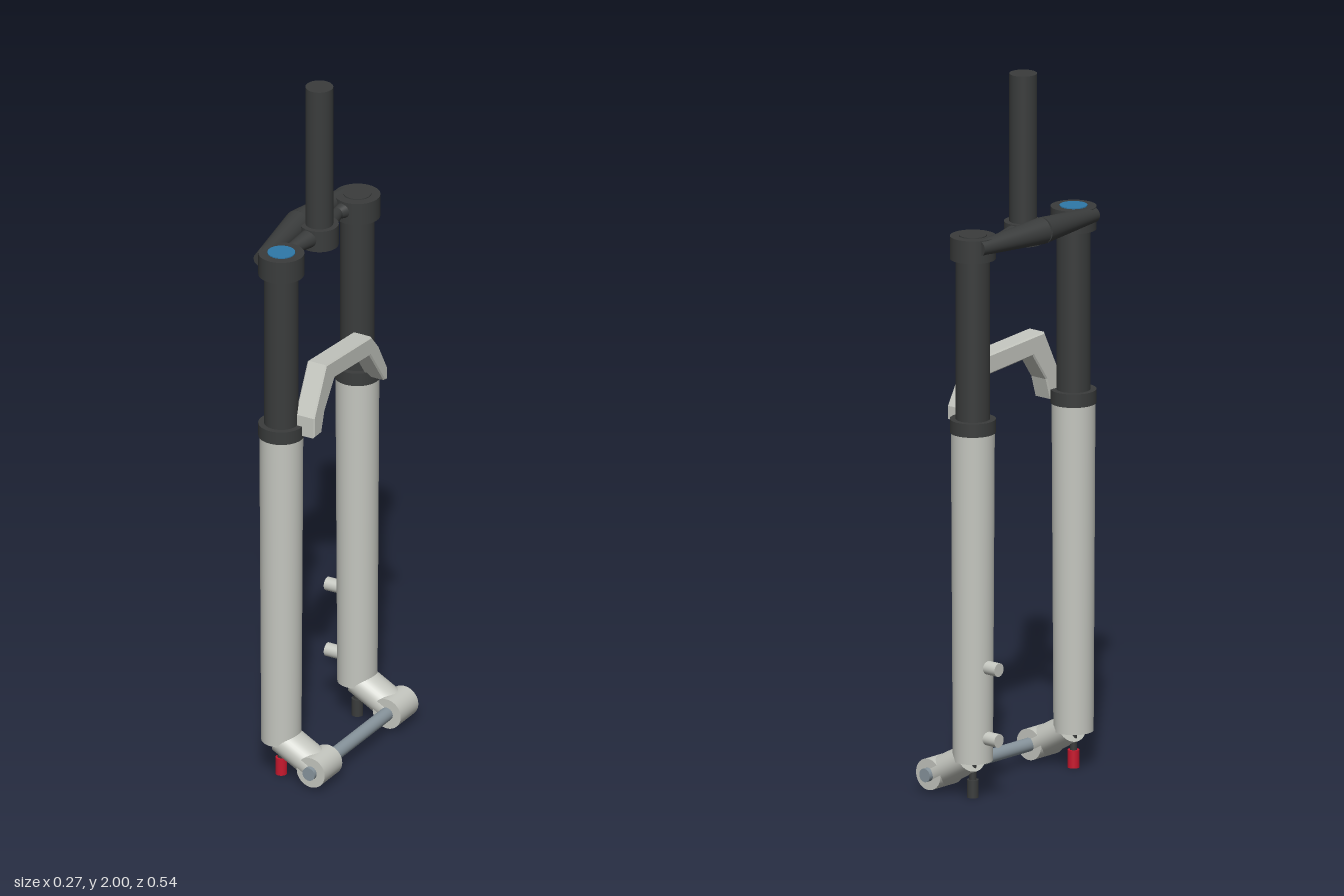
import * as THREE from 'three';

const mat = (color, side = THREE.FrontSide) => new THREE.MeshStandardMaterial({ color, side });
const V = (x, y, z) => new THREE.Vector3(x, y, z);
const UP = V(0, 1, 0);

export function createModel() {
  const model = new THREE.Group();
  const dark = mat(0x3a3c3c), alloy = mat(0xc4c6bf), steel = mat(0x87949c);
  const blue = mat(0x2f78a8), red = mat(0xc8182e);
  const legX = -0.03, legZ = 0.207, axleX = 0.09, axleY = 0.052;

  const add = (name, geometry, material, parent = model) => {
    const mesh = new THREE.Mesh(geometry, material);
    mesh.name = name;
    parent.add(mesh);
    return mesh;
  };
  // Round bar from a (radius ra) to b (radius rb)
  const bar = (name, a, b, ra, rb, material, parent) => {
    const mesh = add(name, new THREE.CylinderGeometry(rb, ra, a.distanceTo(b), 40), material, parent);
    mesh.position.copy(a).add(b).multiplyScalar(0.5);
    mesh.quaternion.setFromUnitVectors(UP, b.clone().sub(a).normalize());
    return mesh;
  };

  // The two legs; the left one carries the coloured adjusters
  for (const s of [1, -1]) {
    const leg = new THREE.Group();
    leg.name = s > 0 ? 'leftLeg' : 'rightLeg';
    model.add(leg);
    const z = s * legZ;
    const upright = (name, y0, y1, r0, r1, m) =>
      bar(name, V(legX, y0, z), V(legX, y1, z), r0, r1, m, leg);

    upright('lowerTube', 0.105, 1.035, 0.055, 0.06, alloy);
    upright('sealCollar', 1.03, 1.068, 0.063, 0.063, dark);
    upright('upperTube', 1.05, 1.55, 0.047, 0.047, dark);
    upright('crownClamp', 1.52, 1.584, 0.063, 0.063, dark);
    upright('topCap', 1.58, 1.587, 0.038, 0.038, s > 0 ? blue : dark);
    upright('bottomStem', 0.04, 0.12, 0.01, 0.01, dark);
    upright('bottomAdjuster', 0, 0.05, 0.016, 0.016, s > 0 ? red : dark);

    // Dropout arm reaching forward to the axle boss
    const arm = bar('dropoutArm', V(-0.024, 0.112, z), V(0.085, 0.052, z), 0.042, 0.042, alloy, leg);
    arm.scale.z = 1.22;
    bar('axleBoss', V(axleX, axleY, z - 0.048), V(axleX, axleY, z + 0.048), 0.044, 0.044, alloy, leg);
  }

  // Wheel axle
  bar('axle', V(axleX, axleY, -0.27), V(axleX, axleY, 0.267), 0.019, 0.019, steel);

  // Brake mounts on the back of the right leg
  for (const y of [0.175, 0.375]) {
    bar('brakeMount', V(-0.125, y, -legZ), V(-0.05, y, -legZ), 0.019, 0.019, alloy);
  }

  // Hollow steerer, closed on top and open below
  const lathe = (points) => {
    const g = new THREE.LatheGeometry(points.map(([r, y]) => new THREE.Vector2(r, y)), 40);
    return g.translate(legX, 0, 0);
  };
  const darkDouble = mat(0x3a3c3c, THREE.DoubleSide);
  bar('steerer', V(legX, 1.55, 0), V(legX, 2, 0), 0.038, 0.038, dark);
  add('crownHub', lathe([
    [0.034, 1.58], [0.034, 1.522], [0.034, 1.522], [0.053, 1.522], [0.053, 1.522],
    [0.053, 1.584], [0.053, 1.584], [0.034, 1.584],
  ]), darkDouble);

  // Crown: a tapered rear brace plus a waisted arm on each side of the hub
  for (const s of [1, -1]) {
    bar('crownBrace', V(-0.098, 1.568, 0), V(-0.079, 1.562, s * 0.235), 0.037, 0.021, dark);
    bar('crownInnerArm', V(-0.035, 1.556, s * 0.03), V(-0.047, 1.556, s * 0.13), 0.028, 0.016, dark);
    bar('crownOuterArm', V(-0.047, 1.556, s * 0.125), V(-0.035, 1.556, s * 0.18), 0.016, 0.03, dark);
  }

  // Brace arch in front of the legs, drawn as (z, y) and extruded along x
  const outline = [
    [0.202, 1.04], [0.202, 1.1], [0.135, 1.235], [-0.112, 1.215], [-0.155, 1.165], [-0.2, 1.085],
    [-0.2, 1.048], [-0.182, 1.052], [-0.105, 1.16], [0.088, 1.177], [0.142, 1.1], [0.16, 1.04],
  ];
  const shape = new THREE.Shape(outline.map(([z, y]) => new THREE.Vector2(-z, y)));
  const arch = add('arch', new THREE.ExtrudeGeometry(shape, {
    depth: 0.052, bevelEnabled: true, bevelThickness: 0.004, bevelSize: 0.004, bevelOffset: -0.004, bevelSegments: 1,
  }), alloy);
  arch.rotation.y = Math.PI / 2;
  arch.position.x = 0.014;

  return model;
}
